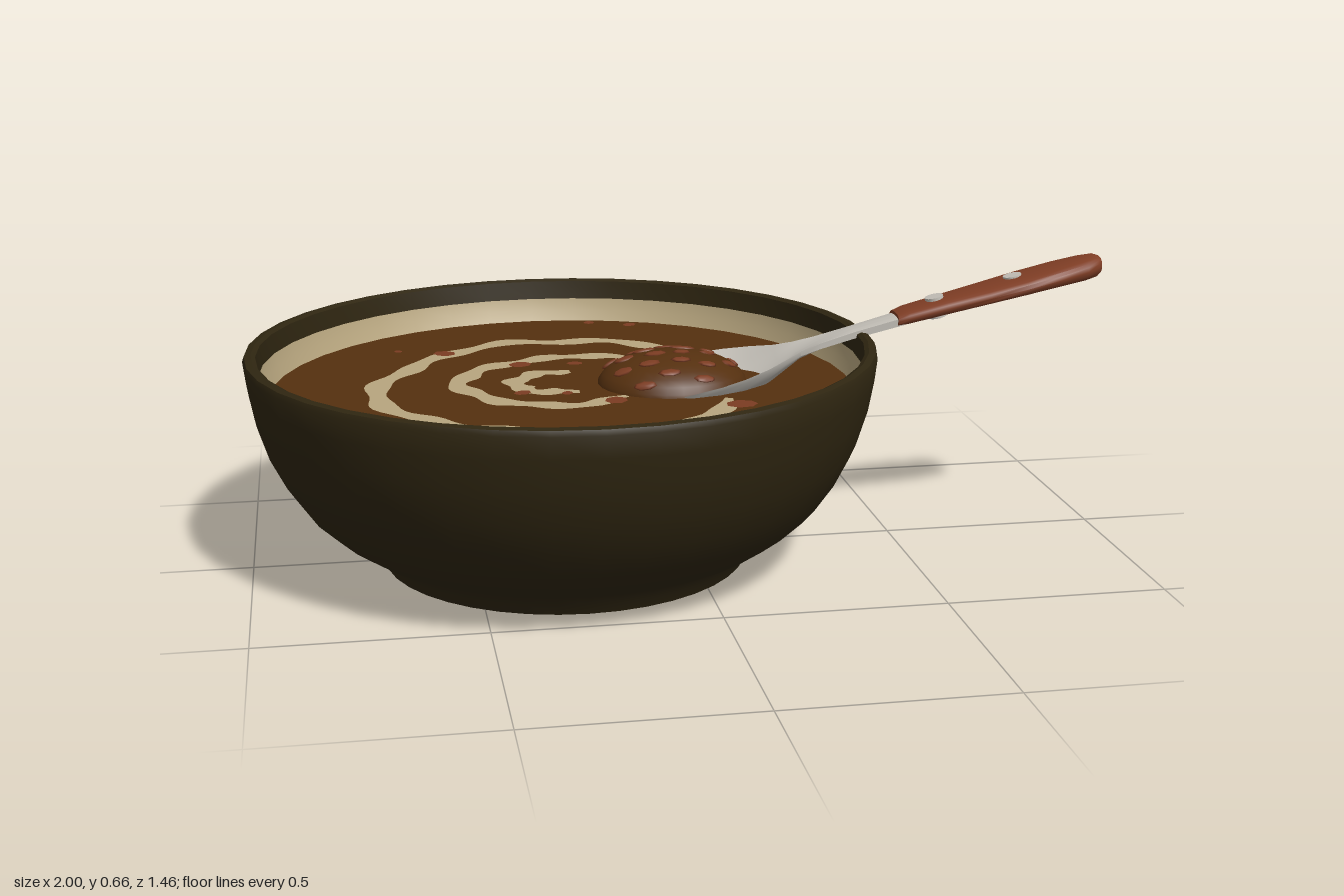
import * as THREE from 'three';
import { mergeVertices, toCreasedNormals } from 'three/addons/utils/BufferGeometryUtils.js';

const mat = (name, color, side = THREE.FrontSide) => {
  const m = new THREE.MeshStandardMaterial({ color, side });
  m.name = name;
  return m;
};

// Skin over cross-section rings running along +x, closed at both ends
function loft(rings) {
  const n = rings[0].length, pos = [], idx = [];
  rings.forEach(r => r.forEach(p => pos.push(...p)));
  for (let i = 0; i < rings.length - 1; i++)
    for (let j = 0; j < n; j++) {
      const k = (j + 1) % n;
      const a = i * n + j, b = a + n, c = (i + 1) * n + k, d = i * n + k;
      idx.push(a, b, c, a, c, d);
    }
  [0, rings.length - 1].forEach((i, end) => {
    const mid = [0, 1, 2].map(k => rings[i].reduce((s, p) => s + p[k], 0) / n);
    const c = pos.length / 3;
    pos.push(...mid);
    for (let j = 0; j < n; j++) {
      const a = i * n + j, b = i * n + (j + 1) % n;
      if (end) idx.push(c, b, a); else idx.push(c, a, b);
    }
  });
  const g = new THREE.BufferGeometry();
  g.setAttribute('position', new THREE.Float32BufferAttribute(pos, 3));
  g.setIndex(idx);
  return toCreasedNormals(g, 0.8);
}

const lathe = pts => toCreasedNormals(mergeVertices(
  new THREE.LatheGeometry(pts.map(p => new THREE.Vector2(...p)), 40)), 0.6);

export function createModel() {
  const model = new THREE.Group();
  const clay = mat('dark clay', 0x2f2611);
  const cream = mat('cream', 0xb8a67f);
  const broth = mat('soup brown', 0x55300f);
  const chunk = mat('red brown chunk', 0x7c3c22);
  const wood = mat('handle wood', 0x803e25);
  const steel = mat('steel', 0xc4c0b8, THREE.DoubleSide);

  const add = (name, geo, material, parent = model) => {
    const m = new THREE.Mesh(geo, material);
    m.name = name;
    parent.add(m);
    return m;
  };

  // Bowl with a recessed foot and a rounded rim
  const CX = -0.281, LEVEL = 0.4;
  const dish = new THREE.Group();
  dish.name = 'bowl';
  dish.position.x = CX;
  dish.scale.z = 1.015;
  model.add(dish);
  add('bowlShell', lathe([
    [0, 0.03], [0.35, 0.03], [0.39, 0.004], [0.42, 0.004], [0.435, 0.03], [0.455, 0.055],
    [0.49, 0.07], [0.545, 0.108], [0.595, 0.155], [0.64, 0.22], [0.675, 0.29], [0.7, 0.37],
    [0.713, 0.44], [0.719, 0.49], [0.715, 0.502], [0.7, 0.505], [0.69, 0.5], [0.685, 0.455]]), clay, dish);
  add('innerWall', lathe([[0.685, 0.455], [0.678, 0.425], [0.66, 0.385]]), cream, dish);
  add('soup', new THREE.CircleGeometry(0.668, 40).rotateX(-Math.PI / 2), broth, dish).position.y = LEVEL;

  // Cream swirl: ribbons of wavering width lying on the soup
  const strokes = [
    [[-0.25, -0.12], [-0.32, -0.115], [-0.38, -0.06], [-0.375, 0.02], [-0.32, 0.055], [-0.25, 0.06]],
    [[-0.085, -0.17], [-0.11, -0.23], [-0.18, -0.265], [-0.33, -0.245], [-0.46, -0.165], [-0.515, -0.05],
      [-0.46, 0.09], [-0.34, 0.17], [-0.23, 0.17], [-0.15, 0.12]],
    [[0.05, -0.23], [-0.02, -0.34], [-0.13, -0.41], [-0.25, -0.42], [-0.37, -0.43], [-0.53, -0.325],
      [-0.65, -0.155], [-0.71, 0], [-0.66, 0.18], [-0.53, 0.31], [-0.37, 0.375]],
    [[-0.47, 0.425], [-0.315, 0.455], [-0.155, 0.42], [0.005, 0.32], [0.075, 0.18]]];
  strokes.forEach((pts, s) => {
    const curve = new THREE.CatmullRomCurve3(pts.map(p => new THREE.Vector3(p[0], -p[1], 0)));
    const left = [], right = [], n = pts.length * 6;
    for (let i = 0; i <= n; i++) {
      const p = curve.getPointAt(i / n), t = curve.getTangentAt(i / n);
      const taper = 0.5 + 0.5 * Math.min(1, i / 5, (n - i) / 5);
      const w = (0.025 + 0.006 * Math.sin(i * 0.9 + s)) * taper;
      const sway = 0.006 * Math.sin(i * 0.65 + s * 2);
      left.push(new THREE.Vector2(p.x - t.y * (w + sway), p.y + t.x * (w + sway)));
      right.unshift(new THREE.Vector2(p.x + t.y * (w - sway), p.y - t.x * (w - sway)));
    }
    const geo = new THREE.ShapeGeometry(new THREE.Shape([...left, ...right])).rotateX(-Math.PI / 2);
    add('creamSwirl', geo, cream).position.y = LEVEL + 0.004;
  });

  // Chunks floating on the soup: x, z, size
  [[-0.14, -0.61, 0.014], [-0.04, -0.57, 0.02], [-0.36, -0.2, 0.025], [-0.23, -0.19, 0.02], [-0.53, -0.34, 0.025],
    [-0.64, -0.38, 0.012], [-0.18, 0.16, 0.026], [-0.38, 0.06, 0.022], [0.09, 0.24, 0.032], [0.14, 0.31, 0.026],
    [-0.63, 0.375, 0.022], [-0.71, 0.365, 0.015], [0.22, 0.36, 0.018], [-0.02, 0.475, 0.02], [-0.12, 0.44, 0.015],
    [-0.46, 0.515, 0.012], [0.06, -0.2, 0.025], [-0.28, 0.08, 0.016]
  ].forEach(([x, z, r], i) => {
    const m = add('soupChunk', new THREE.CircleGeometry(r, 7).rotateX(-Math.PI / 2), chunk);
    m.position.set(x, LEVEL + 0.006, z);
    m.scale.z = i % 2 ? 0.8 : 1.15;
    m.rotation.y = i;
  });

  // Heap of soup in the spoon, with chunks lying flush on it
  const heap = new THREE.Group();
  heap.name = 'spoonful';
  heap.position.set(-0.025, 0.392, -0.007);
  heap.scale.set(0.175, 0.08, 0.162);
  model.add(heap);
  add('soupHeap', new THREE.SphereGeometry(1, 28, 16), broth, heap);
  for (let i = 0; i < 20; i++) {
    const r = Math.sqrt((i + 0.4) / 21) * 0.95, a = i * 2.4 + 0.5;
    const n = new THREE.Vector3(r * Math.cos(a), Math.sqrt(1 - r * r), r * Math.sin(a));
    const m = add('heapChunk', new THREE.SphereGeometry(1, 7, 4), chunk, heap);
    m.position.copy(n);
    m.quaternion.setFromUnitVectors(new THREE.Vector3(0, 1, 0), n);
    const s = 0.1 + 0.05 * ((i * 7) % 5) / 4;
    m.scale.set(s * 1.25, 0.05, s * 0.85);
  }

  // Steel scoop and neck: x, half width, edge height, dip, thickness
  const ZC = -0.005;
  add('spoonScoop', loft([
    [-0.17, 0.04, 0.375, 0.01, 0.01], [-0.13, 0.1, 0.38, 0.04, 0.01], [-0.07, 0.145, 0.39, 0.06, 0.01],
    [0, 0.165, 0.41, 0.075, 0.01], [0.06, 0.166, 0.423, 0.08, 0.01], [0.12, 0.148, 0.435, 0.075, 0.01],
    [0.18, 0.115, 0.447, 0.06, 0.01], [0.23, 0.075, 0.458, 0.035, 0.011], [0.27, 0.049, 0.47, 0.016, 0.012],
    [0.32, 0.036, 0.484, 0.003, 0.014], [0.4, 0.031, 0.506, -0.004, 0.016], [0.52, 0.035, 0.537, -0.004, 0.018]
  ].map(([x, w, y, dip, t]) => {
    const ring = [];
    for (let k = 0; k <= 10; k++) { // top face, then back underneath
      const u = 1 - k / 5;
      ring.push([x, y - dip * (1 - u * u), ZC + w * u]);
    }
    for (let k = 0; k <= 10; k++) {
      const u = k / 5 - 1;
      ring.push([x, y - t - dip * (1 - u * u), ZC + w * 0.97 * u]);
    }
    return ring;
  })), steel);

  // Wooden handle: x, centre height, half width, half thickness
  add('spoonHandle', loft([
    [0.505, 0.529, 0.042, 0.015], [0.53, 0.536, 0.048, 0.018], [0.62, 0.557, 0.053, 0.02],
    [0.72, 0.58, 0.064, 0.021], [0.81, 0.601, 0.07, 0.023], [0.9, 0.621, 0.067, 0.025],
    [0.96, 0.633, 0.055, 0.027], [0.99, 0.639, 0.042, 0.026], [1, 0.641, 0.032, 0.021]
  ].map(([x, y, w, h]) => Array.from({ length: 20 }, (_, k) => {
    const a = k / 20 * Math.PI * 2, c = Math.cos(a), s = Math.sin(a);
    const f = v => Math.sign(v) * Math.abs(v) ** 0.8;
    return [x, y + h * f(s), ZC + w * f(c)];
  }))), wood);

  // Rivets through the handle
  [[0.605, 0.5535], [0.795, 0.5977]].forEach(([x, y]) => {
    const m = add('rivet', new THREE.CylinderGeometry(0.022, 0.022, 0.05, 14), steel);
    m.position.set(x, y, ZC);
    m.rotation.z = 0.23;
  });
  return model;
}
